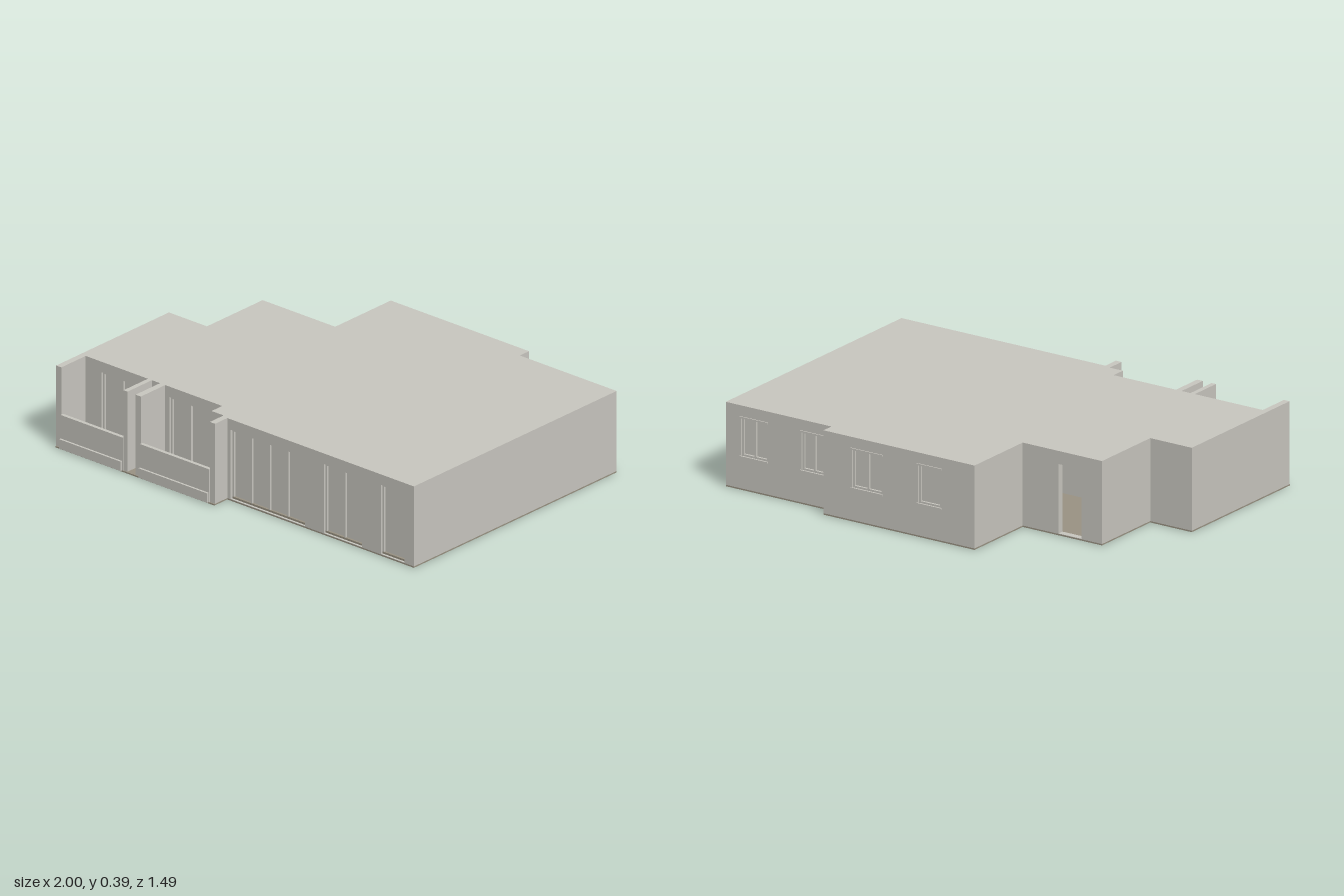
import * as THREE from 'three';

export function createModel() {
  const house = new THREE.Group();
  house.name = 'house';
  const paint = (name, color) => Object.assign(new THREE.MeshStandardMaterial({ color }), { name });
  const plaster = paint('plaster', 0xc9c7c0);
  const tile = paint('tile', 0x9a9383);
  const wood = paint('wood', 0x8a6a45);
  const T = 0.03, BASE = 0.008, TOP = 0.38;

  function add(name, geometry, material, parent = house) {
    const mesh = new THREE.Mesh(geometry, material);
    mesh.name = name;
    parent.add(mesh);
    return mesh;
  }
  // Box given by its limits on each axis
  function block(name, x0, x1, y0, y1, z0, z1, material = plaster, parent = house) {
    const mesh = add(name, new THREE.BoxGeometry(x1 - x0, y1 - y0, z1 - z0), material, parent);
    mesh.position.set((x0 + x1) / 2, (y0 + y1) / 2, (z0 + z1) / 2);
    return mesh;
  }
  // Horizontal plate cut to a plan outline of [x, z] points
  function plate(name, outline, y0, y1, material) {
    const shape = new THREE.Shape(outline.map(([x, z]) => new THREE.Vector2(x, z)));
    const geo = new THREE.ExtrudeGeometry(shape, { depth: y1 - y0, bevelEnabled: false });
    geo.rotateX(Math.PI / 2).translate(0, y1, 0);
    return add(name, geo, material);
  }
  // Wall along x with openings {x0, x1, y0, y1, leaves}; face is +1 to the front, -1 to the back
  function wallX(name, x0, x1, z, face, openings = []) {
    const group = new THREE.Group();
    group.name = name;
    house.add(group);
    const shape = new THREE.Shape();
    shape.moveTo(x0, BASE).lineTo(x1, BASE).lineTo(x1, TOP).lineTo(x0, TOP).closePath();
    for (const o of openings) {
      const hole = new THREE.Path();
      hole.moveTo(o.x0, o.y0).lineTo(o.x0, o.y1).lineTo(o.x1, o.y1).lineTo(o.x1, o.y0).closePath();
      shape.holes.push(hole);
    }
    const geo = new THREE.ExtrudeGeometry(shape, { depth: T, bevelEnabled: false });
    geo.translate(0, 0, face > 0 ? z - T : z);
    add('wallPanel', geo, plaster, group);
    for (const o of openings) if (o.leaves) glaze(o, z, face, group);
  }
  // Recessed panes with a frame and upright bars
  function glaze({ x0, x1, y0, y1, leaves }, z, face, group) {
    const b = 0.009;
    const layer = (name, ax, bx, ay, by, near, far, material) => {
      const za = z - face * near, zb = z - face * far;
      block(name, ax, bx, ay, by, Math.min(za, zb), Math.max(za, zb), material, group);
    };
    layer('pane', x0, x1, y0, y1, 0.02, 0.025);
    layer('frameTop', x0, x1, y1 - b, y1, 0.01, 0.02);
    layer('frameBottom', x0, x1, y0, y0 + b, 0.01, 0.02, y0 < 0.05 ? tile : plaster);
    for (let i = 0; i <= leaves; i++) {
      const x = x0 + b / 2 + (x1 - x0 - b) * i / leaves;
      layer('frameUpright', x - b / 2, x + b / 2, y0 + b, y1 - b, 0.01, 0.02);
    }
  }
  const door = (x0, x1, leaves) => ({ x0, x1, y0: 0.01, y1: 0.34, leaves });
  const win = (x0, x1, leaves) => ({ x0, x1, y0: 0.155, y1: 0.335, leaves });

  // Floor slab and roof share the stepped back
  const back = [[-1, -0.01], [-0.78, -0.01], [-0.78, -0.375], [-0.36, -0.375],
    [-0.36, -0.74], [0.44, -0.74], [0.44, -0.68], [1, -0.68], [1, 0.65]];
  plate('floorSlab', [...back, [-0.08, 0.65], [-0.08, 0.735], [-1, 0.735]], 0.0015, BASE, tile);
  plate('roof', [...back, [-0.11, 0.65], [-0.11, 0.64], [-0.18, 0.64], [-0.18, 0.57], [-1, 0.57]],
    TOP, 0.39, plaster);

  // Wooden floors in the bedrooms and living room
  for (const [x0, x1, z0, z1] of [[0.67, 0.97, -0.51, -0.14], [0.48, 0.97, -0.1, 0.41],
    [-0.6, -0.21, 0.11, 0.53], [-0.97, -0.63, 0.09, 0.53]]) {
    block('woodFloor', x0, x1, 0, 0.011, z0, z1, wood);
  }

  // Outer walls facing front and back
  wallX('frontWall', -0.08, 1, 0.65, 1,
    [door(-0.06, 0.37, 4), door(0.48, 0.7, 2), door(0.81, 0.945, 1)]);
  wallX('balconyWall', -1, -0.18, 0.57, 1, [door(-0.88, -0.65, 2), door(-0.485, -0.26, 2)]);
  wallX('backWallLeft', 0.44, 1, -0.68, -1, [win(0.47, 0.6, 2), win(0.78, 0.92, 2)]);
  wallX('backWallMiddle', -0.36, 0.44, -0.74, -1, [win(-0.18, -0.06, 1), win(0.13, 0.29, 2)]);
  wallX('entranceWall', -0.78, -0.36, -0.375, -1,
    [{ x0: -0.67, x1: -0.55, y0: 0.01, y1: 0.33 }]);
  wallX('backWallRight', -1, -0.78, -0.01, -1);

  // Window surrounds standing slightly proud of the back
  for (const [x0, x1, z] of [[0.47, 0.6, -0.68], [0.78, 0.92, -0.68],
    [-0.18, -0.06, -0.74], [0.13, 0.29, -0.74]]) {
    block('windowSill', x0 - 0.005, x1 + 0.005, 0.15, 0.158, z - 0.005, z);
    block('windowHead', x0 - 0.005, x1 + 0.005, 0.332, 0.34, z - 0.005, z);
  }

  // Outer walls facing the sides
  for (const [x0, x1, z0, z1] of [[1 - T, 1, -0.68, 0.65], [-1, -1 + T, -0.01, 0.57],
    [-0.78, -0.78 + T, -0.375, 0.02], [-0.36, -0.36 + T, -0.74, -0.345],
    [0.44 - T, 0.44, -0.74, -0.65], [-0.18, -0.15, 0.54, 0.64]]) {
    block('sideWall', x0, x1, BASE, TOP, z0, z1);
  }
  block('frontReturn', -0.18, -0.08, BASE, TOP, 0.62, 0.64);

  // Inner partitions
  for (const [x0, x1, z0, z1] of [[-0.97, 0.2, 0.07, 0.09], [-0.62, -0.6, 0.09, 0.55],
    [-0.2, -0.18, 0.09, 0.55], [0.45, 0.47, -0.12, 0.62], [0.47, 0.97, -0.13, -0.11],
    [0.64, 0.66, -0.65, -0.13], [-0.36, -0.34, -0.35, -0.1], [-0.33, 0.44, -0.4, -0.38],
    [0.04, 0.06, -0.71, -0.4]]) {
    block('partition', x0, x1, BASE, TOP, z0, z1);
  }

  // Balcony fins, parapets and plinths
  for (const [x0, x1, z0] of [[-1, -0.97, 0.57], [-0.61, -0.587, 0.57],
    [-0.54, -0.51, 0.57], [-0.11, -0.08, 0.62]]) {
    block('balconyFin', x0, x1, BASE, 0.39, z0, 0.73);
  }
  for (const [x0, x1] of [[-0.97, -0.61], [-0.51, -0.11]]) {
    block('parapet', x0, x1, BASE, 0.165, 0.718, 0.735);
    block('plinth', x0, x1 - 0.003, BASE, 0.053, 0.735, 0.745);
  }
  return house;
}
